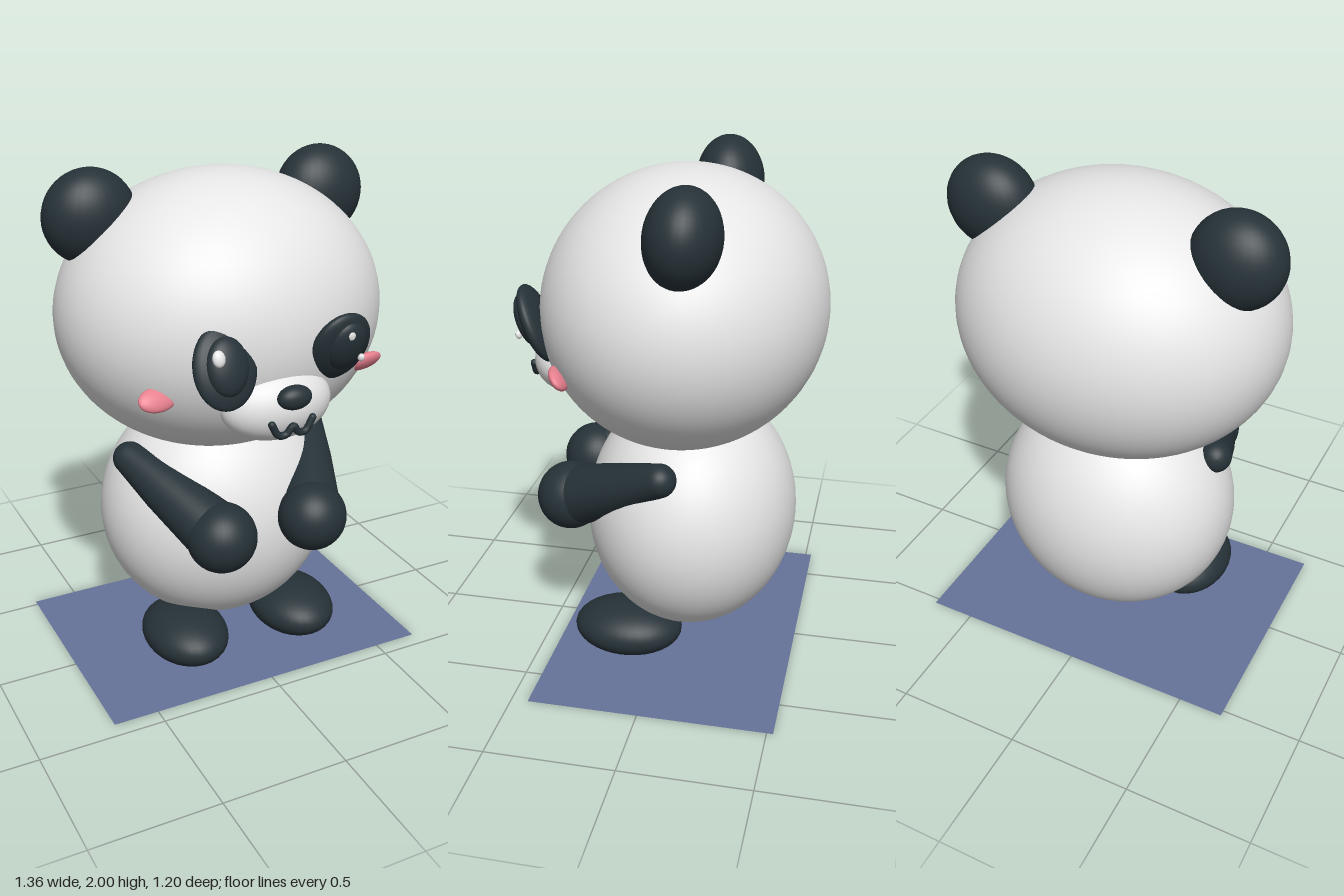
import * as THREE from 'three';

const mat = (name, color) => {
  const m = new THREE.MeshStandardMaterial({ color });
  m.name = name;
  return m;
};

export function createModel() {
  const group = new THREE.Group();
  const white = mat('soft white fur', 0xe6e6e6);
  const dark = mat('dark slate fur', 0x263238);
  const pink = mat('blush pink', 0xe8808f);
  const shine = mat('eye shine', 0xffffff);
  const blue = mat('base blue', 0x66729a);
  blue.side = THREE.DoubleSide;

  const add = (name, geometry, material) => {
    const mesh = new THREE.Mesh(geometry, material);
    mesh.name = name;
    group.add(mesh);
    return mesh;
  };

  // Smooth ellipsoid from centre, radii and optional rotation
  const blob = (name, material, pos, radii, rot = [0, 0, 0], seg = 32) => {
    const mesh = add(name, new THREE.SphereGeometry(1, seg, Math.ceil(seg * 0.75)), material);
    mesh.position.set(...pos);
    mesh.scale.set(...radii);
    mesh.rotation.set(...rot, 'YXZ');
    return mesh;
  };

  // Flat ground sheet
  const base = add('base', new THREE.PlaneGeometry(1.36, 0.96), blue);
  base.rotation.x = -Math.PI / 2;
  base.position.z = -0.045;

  // Head, body and muzzle
  blob('head', white, [0, 1.43, -0.05], [0.65, 0.54, 0.552], [0, 0, 0], 64);
  blob('body', white, [0, 0.58, -0.082], [0.487, 0.49, 0.422], [0, 0, 0], 64);
  blob('muzzle', white, [0, 1.203, 0.42], [0.22, 0.14, 0.132]);
  blob('nose', dark, [0, 1.272, 0.56], [0.067, 0.045, 0.042]);

  // Mouth: small W-shaped tube
  const mouthPoints = [
    [-0.083, 1.176, 0.548], [-0.055, 1.13, 0.548], [-0.025, 1.13, 0.55], [0, 1.16, 0.555],
    [0.025, 1.13, 0.55], [0.055, 1.13, 0.548], [0.083, 1.176, 0.548],
  ].map((p) => new THREE.Vector3(...p));
  add('mouth', new THREE.TubeGeometry(new THREE.CatmullRomCurve3(mouthPoints), 48, 0.014, 10), dark);
  for (const p of [mouthPoints[0], mouthPoints[6]]) {
    blob('mouthCorner', dark, p.toArray(), [0.014, 0.014, 0.014], [0, 0, 0], 12);
  }

  // Arm: tapered limb with rounded ends, running along +y from the hand
  const armProfile = (length, r1, r2) => {
    const points = [];
    for (let i = 0; i <= 8; i++) {
      const a = -Math.PI / 2 + (i / 8) * (Math.PI / 2);
      points.push(new THREE.Vector2(Math.max(0, r1 * Math.cos(a)), r1 * Math.sin(a)));
    }
    points.push(new THREE.Vector2(r1 * 0.55 + r2 * 0.45, length * 0.55));
    for (let i = 0; i <= 8; i++) {
      const a = (i / 8) * (Math.PI / 2);
      points.push(new THREE.Vector2(Math.max(0, r2 * Math.cos(a)), length + r2 * Math.sin(a)));
    }
    return points;
  };

  for (const s of [1, -1]) {
    const side = s > 0 ? 'left' : 'right';

    blob(side + 'Ear', dark, [s * 0.485, 1.82, -0.135], [0.18, 0.18, 0.138], [s * -0.08, 0, 0]);

    // Eye patch, eye and its highlights
    blob(side + 'EyePatch', dark, [s * 0.232, 1.397, 0.475], [0.126, 0.155, 0.045], [s * 0.4, 0.08, s * 0.2]);
    blob(side + 'Eye', dark, [s * 0.238, 1.41, 0.507], [0.08, 0.105, 0.043], [s * 0.35, 0.05, s * 0.1]);
    const x = s * 0.257;
    blob(side + 'EyeShineLarge', shine, [x - 0.027, 1.455, s > 0 ? 0.545 : 0.533],
      [0.024, 0.03, 0.017], [s * 0.35, 0, 0], 16);
    blob(side + 'EyeShineSmall', shine, [x + 0.031, 1.365, s > 0 ? 0.533 : 0.545],
      [0.013, 0.016, 0.012], [s * 0.35, 0, 0], 16);

    blob(side + 'Cheek', pink, [s * 0.43, 1.26, 0.338], [0.08, 0.048, 0.025], [s * 0.69, 0.2, 0]);

    // Arm reaching forward to a round paw
    const hand = new THREE.Vector3(s * 0.225, 0.69, 0.31);
    const shoulder = new THREE.Vector3(s * 0.4, 0.866, -0.03);
    const dir = shoulder.clone().sub(hand);
    const arm = add(side + 'Arm', new THREE.LatheGeometry(armProfile(dir.length(), 0.118, 0.066), 32), dark);
    arm.position.copy(hand);
    arm.quaternion.setFromUnitVectors(new THREE.Vector3(0, 1, 0), dir.normalize());
    blob(side + 'Paw', dark, [s * 0.197, 0.665, 0.378], [0.136, 0.136, 0.134]);

    blob(side + 'Foot', dark, [s * 0.247, 0.12, 0.135], [0.168, 0.105, 0.22]);
  }

  return group;
}
